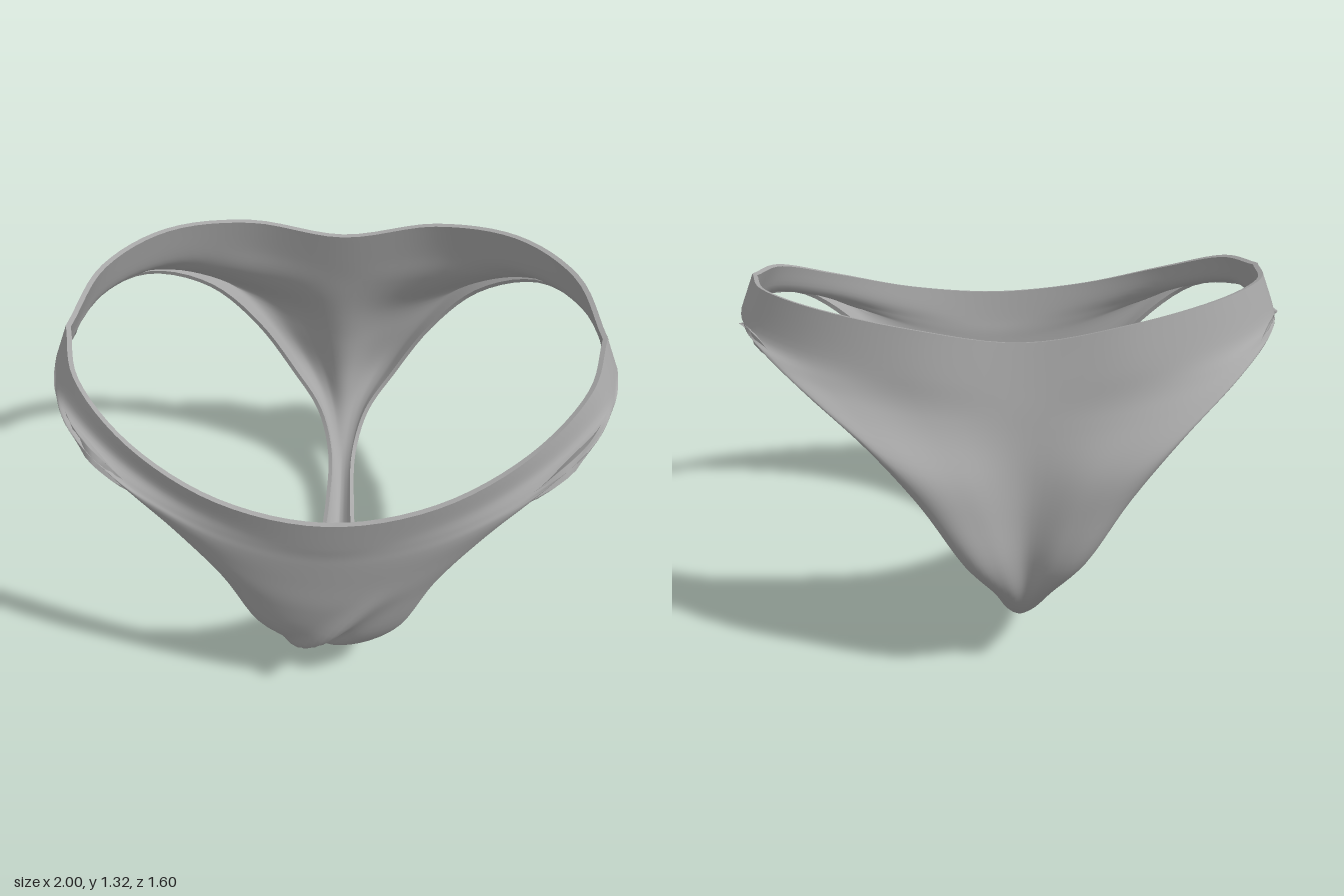
import * as THREE from 'three';
import { mergeVertices } from 'three/addons/utils/BufferGeometryUtils.js';

const THICKNESS = 0.018;
const ROW_STEPS = 5, COL_STEPS = 6, SPANS = 8;

// Sections: centre y, z; leg edge x, y, z; then optional lift in y and bulge in z
const frontPanel = [
  [0.94, 0.8, 0.95, 1.26, 0.13],
  [0.82, 0.78, 1, 1.13, 0.13, 0.06],
  [0.77, 0.77, 0.96, 1.1, 0.34, 0.05],
  [0.72, 0.765, 0.8, 1.03, 0.55, 0.03],
  [0.62, 0.755, 0.6, 0.86, 0.61],
  [0.48, 0.74, 0.4, 0.6, 0.63],
  [0.3, 0.69, 0.28, 0.33, 0.59],
];
const gusset = [
  [0.14, 0.56, 0.2, 0.16, 0.46],
  [0.035, 0.34, 0.14, 0.07, 0.28],
  [0.025, 0.14, 0.1, 0.06, 0.1],
  [0.01, -0.12, 0.075, 0.075, -0.1],
  [0.06, -0.34, 0.06, 0.11, -0.32],
  [0.18, -0.56, 0.06, 0.2, -0.53],
];
const backPanel = [
  [0.32, -0.68, 0.11, 0.34, -0.65, 0, -0.02],
  [0.48, -0.72, 0.22, 0.5, -0.71, 0, -0.07],
  [0.65, -0.72, 0.37, 0.74, -0.71, 0, -0.08],
  [0.8, -0.7, 0.55, 0.95, -0.66, 0, -0.09],
  [0.95, -0.67, 0.77, 1.1, -0.5, 0, -0.05],
  [1.02, -0.655, 0.93, 1.15, -0.2, 0.03, -0.05],
  [1.1, -0.635, 1, 1.13, 0.13, 0.07, -0.08],
  [1.24, -0.6, 0.95, 1.26, 0.13, 0.075, -0.08],
];

// Rounded section from the -x leg edge over the centre to the +x leg edge
function sectionPoints([cy, cz, ex, ey, ez, lift = 0, bulge = 0]) {
  return Array.from({ length: SPANS + 1 }, (_, i) => {
    const s = (2 * i) / SPANS - 1, angle = (s * Math.PI) / 2;
    const hump = Math.sin(Math.PI * Math.abs(s));
    return new THREE.Vector3(
      ex * Math.sin(angle),
      cy + (ey - cy) * Math.sin(angle) ** 2 + lift * hump,
      ez + (cz - ez) * Math.cos(angle) + bulge * hump,
    );
  });
}

// Slanting fold low on the front
function addFold(p) {
  if (p.z < 0.2 || p.y > 0.72) return;
  const along = ((p.x + 0.15) * 0.4 + (p.y - 0.1) * 0.5) / 0.41;
  const across = (p.x + 0.15) * 0.78 - (p.y - 0.1) * 0.625;
  const fade = THREE.MathUtils.smoothstep(p.z, 0.2, 0.45)
    * (1 - THREE.MathUtils.smoothstep(along, 0.3, 1));
  const ridge = Math.exp(-(((across + 0.035) / 0.035) ** 2));
  const groove = Math.exp(-(((across - 0.03) / 0.035) ** 2));
  p.z += fade * 0.035 * (ridge - groove);
}

// Outer cloth: smooth grid from the front waist, underneath, up to the back waist
function clothSurface() {
  const full = [...frontPanel, ...gusset, ...backPanel].map(sectionPoints);
  const last = full.length - 1, cols = SPANS * COL_STEPS, rows = last * ROW_STEPS;
  const lengthwise = full[0].map((_, c) => new THREE.CatmullRomCurve3(full.map((row) => row[c])));
  const pos = [], index = [];
  for (let r = 0; r <= rows; r++) {
    const points = lengthwise.map((curve) => curve.getPoint(r / rows));
    // Keep the side seams of front and back identical
    const t = r / ROW_STEPS, k = Math.min(Math.floor(t), last - 1);
    if (k === 0 || k === last - 1) {
      for (const c of [0, SPANS]) points[c].lerpVectors(full[k][c], full[k + 1][c], t - k);
    }
    const across = new THREE.CatmullRomCurve3(points);
    for (let c = 0; c <= cols; c++) {
      const p = across.getPoint(c / cols);
      addFold(p);
      pos.push(p.x, p.y, p.z);
      if (r < rows && c < cols) {
        const a = r * (cols + 1) + c, b = a + cols + 1;
        index.push(a, b, a + 1, b, b + 1, a + 1);
      }
    }
  }
  let geo = new THREE.BufferGeometry();
  geo.setAttribute('position', new THREE.Float32BufferAttribute(pos, 3));
  geo.setIndex(index);
  geo = mergeVertices(geo, 1e-4);
  geo.computeBoundingBox();
  const { min, max } = geo.boundingBox;
  geo.translate(-(min.x + max.x) / 2, -min.y, -(min.z + max.z) / 2);
  geo.computeVertexNormals();
  return geo;
}

// Inner lining: the outer surface moved inward and turned around
function liningSurface(outer) {
  const geo = outer.clone();
  const p = geo.attributes.position, n = geo.attributes.normal, idx = geo.index;
  for (let i = 0; i < p.count; i++) {
    p.setXYZ(i, p.getX(i) - n.getX(i) * THICKNESS,
      p.getY(i) - n.getY(i) * THICKNESS, p.getZ(i) - n.getZ(i) * THICKNESS);
  }
  for (let i = 0; i < idx.count; i += 3) {
    const a = idx.getX(i);
    idx.setX(i, idx.getX(i + 1));
    idx.setX(i + 1, a);
  }
  geo.computeVertexNormals();
  return geo;
}

// Hem joining cloth and lining along every open edge
function hemSurface(outer, inner) {
  const idx = outer.index.array, edges = new Set(), pos = [];
  const eachEdge = (fn) => {
    for (let i = 0; i < idx.length; i += 3) {
      for (let j = 0; j < 3; j++) fn(idx[i + j], idx[i + ((j + 1) % 3)]);
    }
  };
  const put = (geo, i) => {
    const p = geo.attributes.position;
    pos.push(p.getX(i), p.getY(i), p.getZ(i));
  };
  eachEdge((a, b) => edges.add(a + '_' + b));
  eachEdge((a, b) => {
    if (edges.has(b + '_' + a)) return;
    put(outer, b); put(outer, a); put(inner, a);
    put(outer, b); put(inner, a); put(inner, b);
  });
  let geo = new THREE.BufferGeometry();
  geo.setAttribute('position', new THREE.Float32BufferAttribute(pos, 3));
  geo = mergeVertices(geo, 1e-5);
  geo.computeVertexNormals();
  return geo;
}

export function createModel() {
  const group = new THREE.Group();
  group.name = 'briefs';
  const fabric = new THREE.MeshStandardMaterial({ color: 0xa6a6a6 });
  fabric.name = 'grey fabric';
  const add = (name, geo) => {
    const mesh = new THREE.Mesh(geo, fabric);
    mesh.name = name;
    group.add(mesh);
  };
  const outer = clothSurface();
  const inner = liningSurface(outer);
  add('outerCloth', outer);
  add('innerLining', inner);
  add('hem', hemSurface(outer, inner));
  return group;
}
